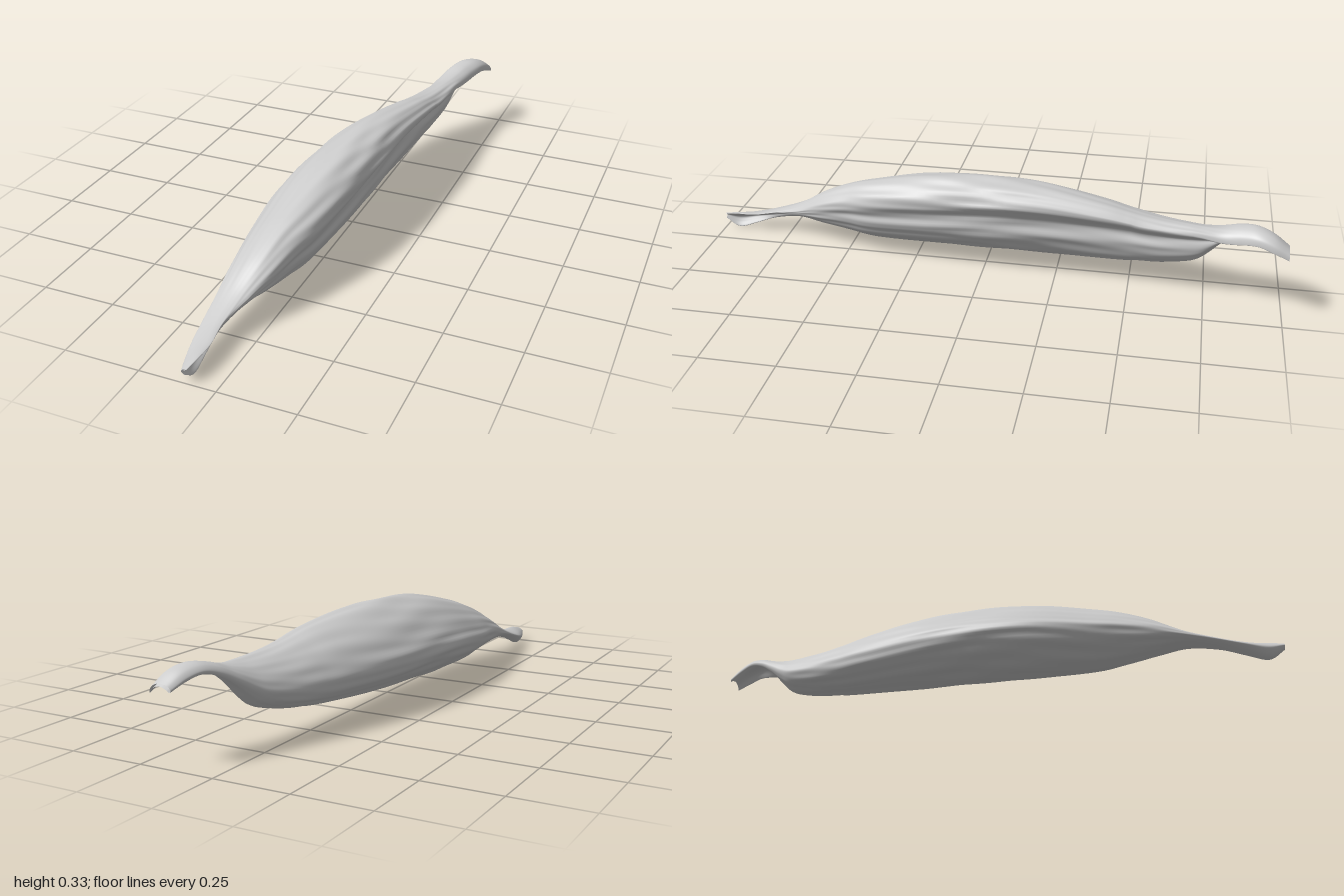
import * as THREE from 'three';

// Cross-section outlines in a -1..1 box, counter-clockwise from the right side
const outlines = [
  // curled, scooped front tip
  [[-.3, .05], [.2, .5], [.95, .95], [.6, 1], [-.1, .75], [-.7, .4], [-1, 0], [-.7, -.5], [-.3, -.85], [.1, -1], [.3, -.9], [-.1, -.4]],
  // rounded front neck
  [[.95, .1], [.95, .5], [.65, .85], [.15, 1], [-.4, .75], [-.8, .4], [-1, 0], [-.85, -.45], [-.4, -.85], [.1, -1], [.55, -.75], [.85, -.3]],
  // full middle with a keel on one side and a soft ridge on the other
  [[.86, .12], [1, .5], [.78, .86], [.3, 1], [-.33, .7], [-.8, .22], [-1, -.13], [-.82, -.5], [-.4, -.86], [.1, -1], [.55, -.72], [.84, -.3]],
  // rear belly hanging below an overhanging ridge
  [[.55, .3], [1, .66], [.85, .93], [.4, 1], [-.28, .72], [-.78, .25], [-1, -.25], [-.8, -.65], [-.35, -.93], [.1, -1], [.45, -.65], [.6, -.15]],
  // thin arched stalk, hollow underneath
  [[.78, -.3], [1, -1], [.88, .1], [.4, .85], [-.2, 1], [-.7, .7], [-1, 0], [-.9, -.5], [-.6, -.05], [-.1, .4], [.3, .4], [.6, .1]],
].map(pts => new THREE.CatmullRomCurve3(
  pts.map(([u, v]) => new THREE.Vector3(u, v, 0)), true, 'catmullrom', 0.5));

// Stations from front to back: z, left x, right x, bottom y, top y, outline index
const stations = [
  [1.00, -.108, -.088, .030, .052, 0],
  [.95, -.128, -.076, .000, .062, 0],
  [.88, -.143, -.070, .022, .066, .2],
  [.80, -.150, -.070, .050, .082, .7],
  [.70, -.156, -.045, .070, .122, 1],
  [.60, -.165, .000, .060, .188, 1.2],
  [.50, -.177, .030, .046, .236, 1.5],
  [.40, -.190, .060, .036, .270, 1.8],
  [.20, -.206, .090, .037, .316, 2],
  [.00, -.196, .110, .044, .334, 2.15],
  [-.20, -.168, .120, .050, .331, 2.4],
  [-.40, -.115, .130, .064, .306, 2.8],
  [-.50, -.083, .132, .074, .286, 3],
  [-.60, -.050, .136, .089, .270, 3],
  [-.70, -.010, .141, .116, .263, 3],
  [-.75, .015, .145, .146, .263, 3.1],
  [-.80, .040, .152, .190, .268, 3.4],
  [-.85, .066, .167, .228, .281, 3.8],
  [-.90, .090, .187, .246, .288, 4],
  [-.95, .111, .200, .234, .276, 4],
  [-1.00, .130, .203, .214, .244, 4],
];

const curveOf = pick => new THREE.CatmullRomCurve3(
  stations.map(s => new THREE.Vector3(...pick.map(i => s[i]))), false, 'catmullrom', 0.5);

function createPod() {
  const rows = 140, sides = 96;
  const widths = curveOf([0, 1, 2]), heights = curveOf([3, 4, 5]);
  const positions = [], index = [];
  const a = new THREE.Vector3(), b = new THREE.Vector3();

  for (let i = 0; i <= rows; i++) {
    const { x: z, y: x0, z: x1 } = widths.getPoint(i / rows);
    const { x: y0, y: y1, z: shape } = heights.getPoint(i / rows);
    const s = THREE.MathUtils.clamp(shape, 0, 4), k = Math.min(3, Math.floor(s));
    const fade = THREE.MathUtils.smoothstep(1 - Math.abs(z), 0.05, 0.45);
    for (let j = 0; j < sides; j++) {
      const t = j / sides, angle = t * Math.PI * 2;
      outlines[k].getPoint(t, a);
      outlines[k + 1].getPoint(t, b);
      a.lerp(b, s - k);
      // shallow wrinkles winding along the skin
      const wrinkle = 1 - fade * (0.013 * (1 + Math.sin(angle * 11 + z * 7 + Math.sin(z * 9)))
        + 0.008 * (1 + Math.sin(angle * 19 - z * 11 + 2 * Math.sin(angle * 2 + z * 5))));
      positions.push(
        (x0 + x1) / 2 + (x1 - x0) / 2 * a.x * wrinkle,
        (y0 + y1) / 2 + (y1 - y0) / 2 * a.y * wrinkle,
        z);
      if (i < rows) {
        const p = i * sides + j, q = i * sides + (j + 1) % sides;
        index.push(p, p + sides, q, q, p + sides, q + sides);
      }
    }
  }
  const geometry = new THREE.BufferGeometry();
  geometry.setAttribute('position', new THREE.Float32BufferAttribute(positions, 3));
  geometry.setIndex(index);
  geometry.computeVertexNormals();
  return geometry;
}

export function createModel() {
  const group = new THREE.Group();
  group.name = 'driedPod';
  const skin = new THREE.Mesh(createPod(), new THREE.MeshStandardMaterial({
    color: 0xcccccc, side: THREE.DoubleSide }));
  skin.name = 'podSkin';
  group.add(skin);
  return group;
}
